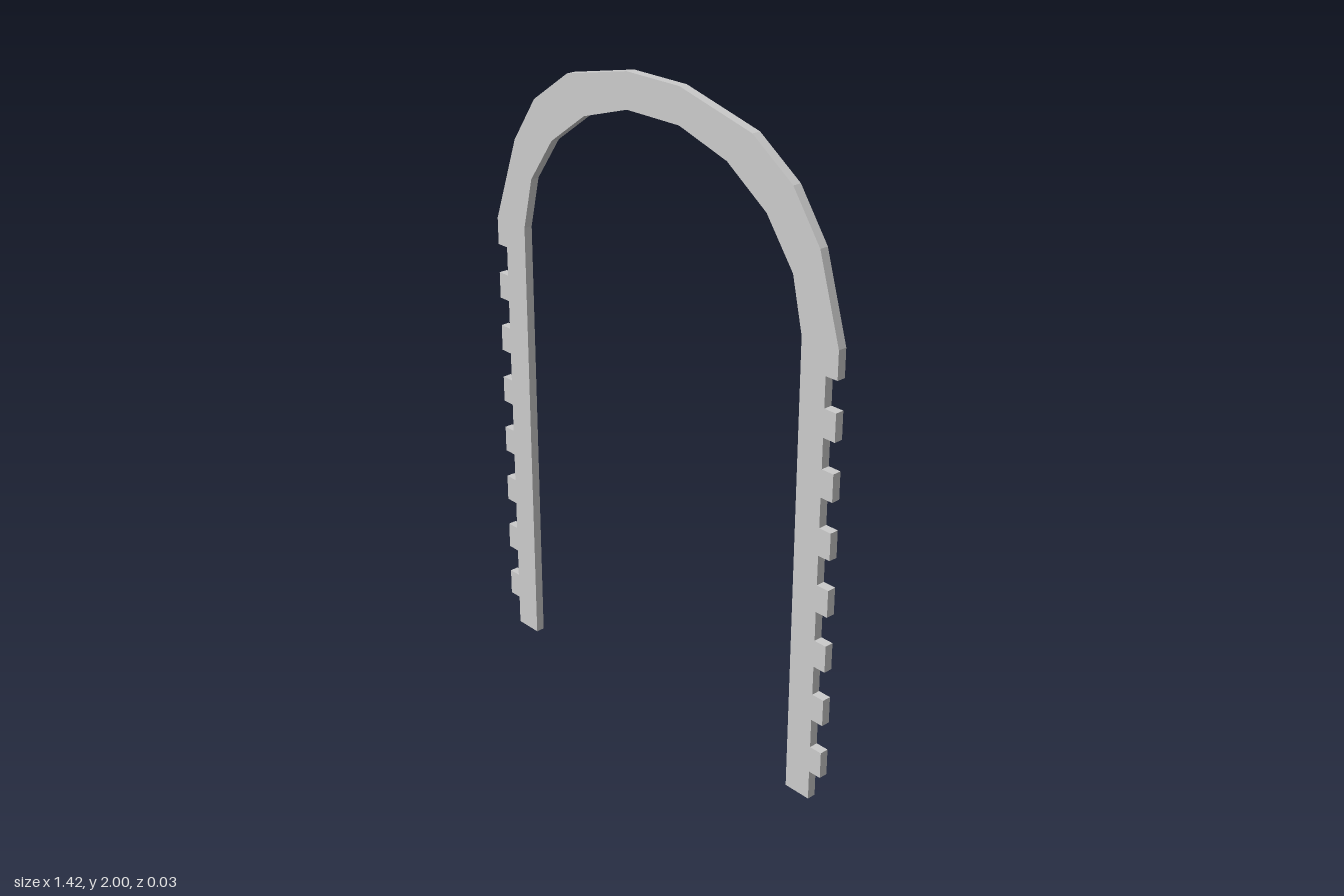
import * as THREE from 'three';

const DEPTH = 0.028;
const SPRING = 1.427; // height where the curved head begins
const TEETH = 7, PITCH = 0.178, TOOTH = 0.085, FIRST = 0.095;

// Curved head, from the -x side over the top to the +x side
const OUTER = [[-0.713, SPRING], [-0.615, 1.697], [-0.517, 1.84], [-0.364, 1.945], [-0.108, 2],
  [0.103, 2], [0.38, 1.93], [0.53, 1.826], [0.631, 1.682], [0.709, SPRING]];
const INNER = [[-0.581, SPRING], [-0.541, 1.59], [-0.441, 1.73], [-0.293, 1.835], [-0.108, 1.892],
  [0.103, 1.892], [0.288, 1.835], [0.438, 1.73], [0.539, 1.59], [0.577, SPRING]];

// Notched outer edge of a leg, from the ground upwards
function toothedEdge(legX, toothX) {
  const pts = [[legX, 0]];
  for (let i = 0; i < TEETH; i++) {
    const y = FIRST + i * PITCH;
    pts.push([legX, y], [toothX, y], [toothX, y + TOOTH], [legX, y + TOOTH]);
  }
  // the topmost tooth runs on into the head
  const top = FIRST + TEETH * PITCH;
  pts.push([legX, top], [toothX, top]);
  return pts;
}

export function createModel() {
  const group = new THREE.Group();
  group.name = 'archFrame';

  // One closed outline: left edge up, over the head, right edge down, back along the inside
  const outline = [
    ...toothedEdge(-0.671, -0.713),
    ...OUTER,
    ...toothedEdge(0.667, 0.709).reverse(),
    [0.577, 0],
    ...[...INNER].reverse(),
    [-0.581, 0],
  ].map(([x, y]) => new THREE.Vector2(x, y));

  const geometry = new THREE.ExtrudeGeometry(new THREE.Shape(outline), { depth: DEPTH, bevelEnabled: false });
  geometry.translate(0.002, 0, -DEPTH / 2);

  const arch = new THREE.Mesh(geometry, new THREE.MeshStandardMaterial({ color: 0xcccccc, flatShading: true }));
  arch.name = 'toothedArch';
  group.add(arch);
  return group;
}
